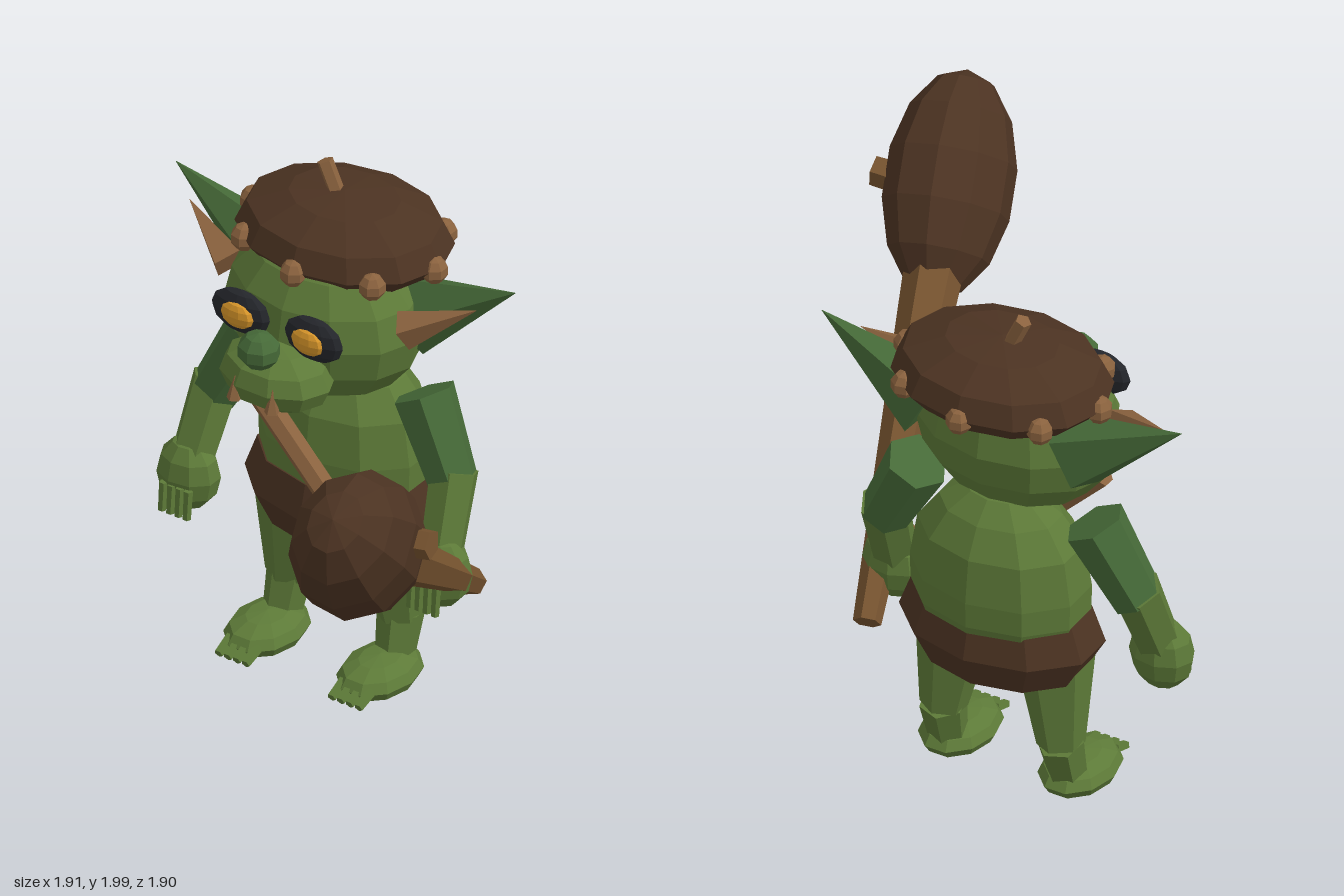
import * as THREE from 'three';

const paint = (name, color) => {
  const m = new THREE.MeshStandardMaterial({ color });
  m.name = name;
  return m;
};

export function createModel() {
  const skin = paint('green skin', 0x5d7a38);
  const darkSkin = paint('dark green skin', 0x466a38);
  const leather = paint('dark brown leather', 0x4c3322);
  const wood = paint('club wood', 0x76532f);
  const tan = paint('tan', 0x8a623e);
  const black = paint('black', 0x24262b);
  const gold = paint('gold', 0xd8962a);

  const root = new THREE.Group();
  root.name = 'clubWarrior';
  const body = new THREE.Group();
  body.name = 'body';
  body.position.x = -0.232;
  root.add(body);

  // Faceted mesh: every face gets its own normal
  const add = (name, geo, mat, pos = [0, 0, 0], parent = body) => {
    const flat = geo.index ? geo.toNonIndexed() : geo;
    flat.computeVertexNormals();
    const mesh = new THREE.Mesh(flat, mat);
    mesh.name = name;
    mesh.position.set(...pos);
    parent.add(mesh);
    return mesh;
  };
  const ball = (name, mat, pos, radii, w = 10, h = 7, parent = body) =>
    add(name, new THREE.SphereGeometry(1, w, h).scale(...radii), mat, pos, parent);
  const lathe = (name, mat, profile, zScale, z, sides) =>
    add(name, new THREE.LatheGeometry(profile.map(p => new THREE.Vector2(...p)), sides).scale(1, 1, zScale), mat, [0, 0, z]);
  // Tapered bar from a to b
  const bar = (name, mat, a, b, r0, r1, sides = 6, zScale = 1, parent = body) => {
    const A = new THREE.Vector3(...a), B = new THREE.Vector3(...b);
    const dir = B.clone().sub(A);
    const geo = new THREE.CylinderGeometry(r1, r0, dir.length(), sides).scale(1, 1, zScale);
    const mesh = add(name, geo, mat, A.add(B).multiplyScalar(0.5).toArray(), parent);
    mesh.quaternion.setFromUnitVectors(new THREE.Vector3(0, 1, 0), dir.normalize());
    return mesh;
  };

  // Torso, loincloth and chest strap
  lathe('torso', skin, [[0, 0.6], [0.28, 0.65], [0.335, 0.81], [0.338, 0.91], [0.31, 1.08], [0.23, 1.19], [0.13, 1.26], [0, 1.28]], 0.72, -0.61, 10);
  lathe('loincloth', leather, [[0, 0.445], [0.1, 0.455], [0.31, 0.55], [0.385, 0.68], [0.337, 0.81], [0, 0.82]], 0.7, -0.6, 10);
  bar('chestStrap', tan, [-0.24, 1.225, -0.325], [0.255, 0.715, -0.315], 0.045, 0.045, 6);

  // Head, muzzle and nose
  ball('head', skin, [0, 1.48, -0.49], [0.385, 0.315, 0.285], 12, 8);
  ball('muzzle', skin, [0, 1.36, -0.2], [0.22, 0.125, 0.165], 10, 6);
  ball('nose', darkSkin, [0, 1.51, -0.09], [0.08, 0.07, 0.075], 8, 5);

  // Cap with stem and a ring of studs
  lathe('cap', leather, [[0, 1.65], [0.34, 1.66], [0.41, 1.73], [0.365, 1.815], [0.21, 1.88], [0, 1.9]], 0.78, -0.6, 12);
  bar('capStem', tan, [-0.035, 1.88, -0.6], [-0.085, 1.99, -0.6], 0.03, 0.03, 5);
  for (let i = 0; i < 8; i++) {
    const a = i * Math.PI / 4;
    ball('capStud', tan, [Math.sin(a) * 0.385, 1.72, -0.595 + Math.cos(a) * 0.3], [0.05, 0.052, 0.05], 7, 5);
  }

  for (const s of [-1, 1]) {
    // Eyes and tusks
    ball('eyeSocket', black, [s * 0.155, 1.555, -0.2], [0.123, 0.085, 0.04], 12, 6);
    ball('eye', gold, [s * 0.15, 1.555, -0.17], [0.07, 0.05, 0.025], 10, 6);
    bar('tusk', tan, [s * 0.08, 1.3, -0.055], [s * 0.08, 1.39, -0.06], 0.028, 0.001, 5);

    // Ears with tan inner part
    bar('ear', darkSkin, [s * 0.29, 1.51, -0.6], [s * 0.722, 1.745, -0.605], 0.155, 0.001, 5, 0.8);
    bar('innerEar', tan, [s * 0.37, 1.55, -0.43], [s * 0.61, 1.67, -0.53], 0.07, 0.001, 4);

    // Arms, fists and fingers
    bar('upperArm', darkSkin, [s * 0.355, 1.215, -0.575], [s * 0.51, 0.92, -0.535], 0.115, 0.092, 6);
    bar('forearm', skin, [s * 0.505, 0.97, -0.545], [s * 0.53, 0.68, -0.43], 0.09, 0.08, 6);
    ball('fist', skin, [s * 0.535, 0.635, -0.42], [0.122, 0.14, 0.095], 9, 6);
    for (let f = 0; f < 4; f++) {
      bar('finger', skin, [s * (0.475 + f * 0.035), 0.62, -0.335], [s * (0.475 + f * 0.035), 0.51, -0.325], 0.017, 0.015, 5);
    }

    // Legs, feet and toes
    bar('thigh', skin, [s * 0.2, 0.6, -0.58], [s * 0.235, 0.25, -0.6], 0.14, 0.085, 6);
    bar('shin', skin, [s * 0.235, 0.26, -0.605], [s * 0.24, 0.09, -0.56], 0.085, 0.07, 6);
    ball('foot', skin, [s * 0.24, 0.078, -0.475], [0.135, 0.07, 0.185], 10, 6);
    for (let t = 0; t < 4; t++) {
      const x = s * (0.24 + (t - 1.5) * 0.038);
      bar('toe', skin, [x, 0.085, -0.34], [x, 0.055, -0.265], 0.021, 0.017, 5);
    }
  }

  // Club: shaft, heavy head, side stub and grip knob
  const club = new THREE.Group();
  club.name = 'club';
  root.add(club);
  bar('clubShaft', wood, [0.305, 0.485, -0.61], [0.63, 1.26, 0.4], 0.05, 0.105, 6, 1, club);
  const head = ball('clubHead', leather, [0.705, 1.438, 0.63], [0.22, 0.405, 0.265], 10, 7, club);
  head.quaternion.setFromUnitVectors(new THREE.Vector3(0, 1, 0), new THREE.Vector3(0.22, 0.7, 0.68).normalize());
  bar('clubStub', wood, [0.78, 1.46, 0.55], [0.945, 1.475, 0.525], 0.06, 0.055, 5, 1, club);
  ball('gripKnob', tan, [0.3, 0.7, -0.36], [0.052, 0.052, 0.052], 7, 5, club);

  return root;
}
